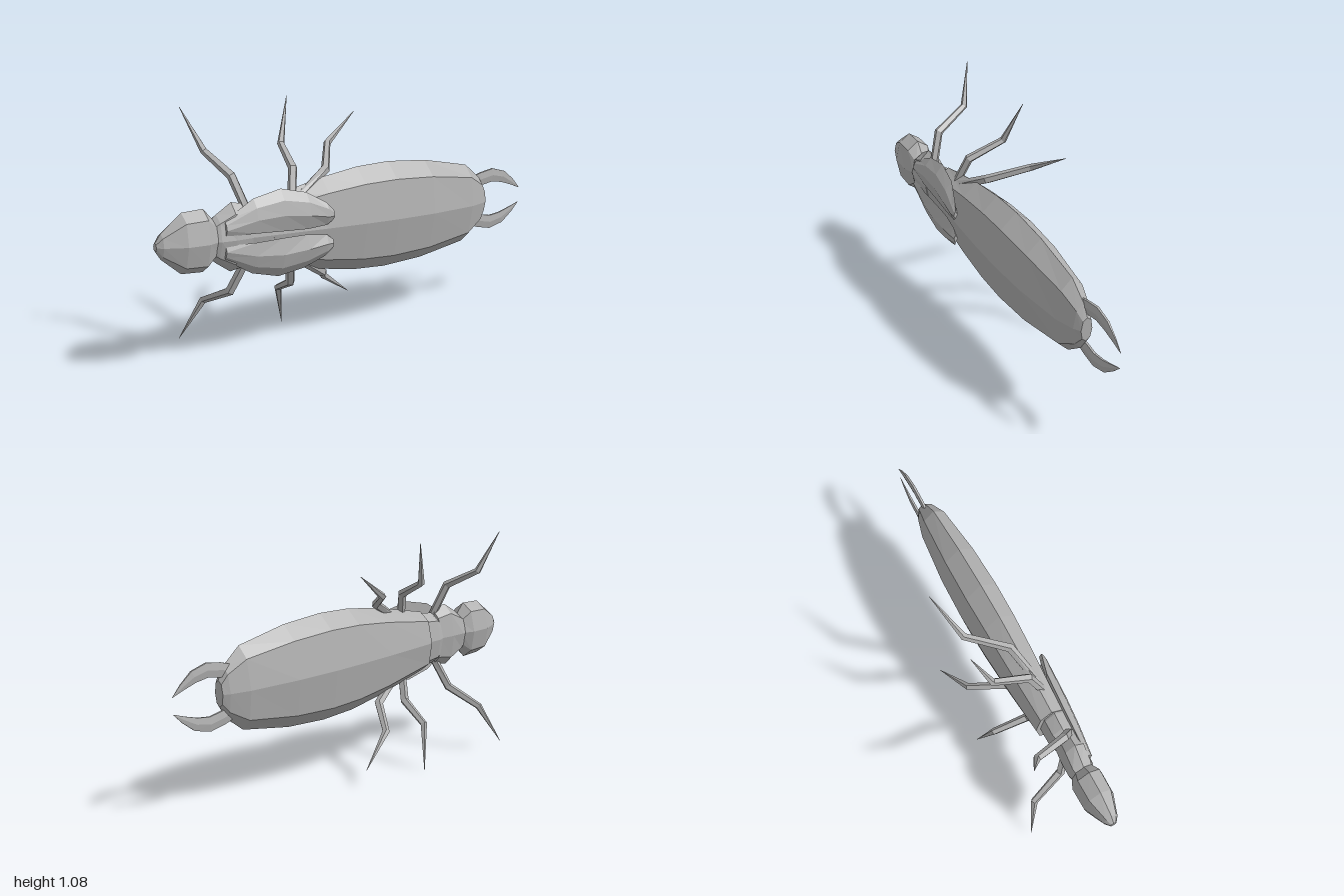
import * as THREE from 'three';

const shell = new THREE.MeshStandardMaterial({ color: 0xb0b0b0, flatShading: true });
shell.name = 'grey shell';

// Skins a list of equal-sized rings and caps both ends; flip mirrors the winding.
function loft(name, rings, flip = false) {
  const pos = [];
  const tri = (a, b, c) => pos.push(...a, ...(flip ? c : b), ...(flip ? b : c));
  const n = rings[0].length;
  for (let i = 0; i + 1 < rings.length; i++) {
    for (let j = 0; j < n; j++) {
      const k = (j + 1) % n;
      tri(rings[i][j], rings[i][k], rings[i + 1][k]);
      tri(rings[i][j], rings[i + 1][k], rings[i + 1][j]);
    }
  }
  const first = rings[0], last = rings[rings.length - 1];
  for (let j = 1; j + 1 < n; j++) {
    tri(first[0], first[j + 1], first[j]);
    tri(last[0], last[j], last[j + 1]);
  }
  const geo = new THREE.BufferGeometry();
  geo.setAttribute('position', new THREE.Float32BufferAttribute(pos, 3));
  geo.computeVertexNormals();
  const mesh = new THREE.Mesh(geo, shell);
  mesh.name = name;
  return mesh;
}

// Eight-sided body section: stations are [x, half width, belly z, back z].
const SECTION = [[1, 0], [0.72, 0.72], [0, 1], [-0.72, 0.72], [-1, 0], [-0.72, -0.72], [0, -1], [0.72, -0.72]];
function bodyPart(name, stations) {
  return loft(name, stations.map(([x, w, z0, z1]) =>
    SECTION.map(([a, b]) => [x, a * w, (z0 + z1) / 2 + b * (z1 - z0) / 2])));
}

// Tapered limb along a path, with elliptical sections; side is +1 or -1.
function limb(name, path, radii, sides, side, flat = 1) {
  const pts = path.map(p => new THREE.Vector3(...p));
  const rings = pts.map((p, i) => {
    const dir = pts[Math.min(i + 1, pts.length - 1)].clone().sub(pts[Math.max(i - 1, 0)]).normalize();
    const ref = flat < 1 ? new THREE.Vector3(0, 0, 1) : new THREE.Vector3(1, 0, 0);
    const n1 = ref.addScaledVector(dir, -ref.dot(dir)).normalize();
    const n2 = dir.clone().cross(n1);
    return Array.from({ length: sides }, (_, j) => {
      const a = j / sides * Math.PI * 2;
      const v = p.clone().addScaledVector(n1, Math.cos(a) * radii[i] * flat)
        .addScaledVector(n2, Math.sin(a) * radii[i]);
      return [v.x, v.y * side, v.z];
    });
  });
  return loft(name, rings, side < 0);
}

// Wing case: stations are [x, inner y, outer y, inner z, ridge z, outer z].
const WING = [
  [-0.70, 0.02, 0.085, 0.135, 0.145, 0.12],
  [-0.56, 0.02, 0.165, 0.15, 0.16, 0.115],
  [-0.43, 0.015, 0.195, 0.155, 0.172, 0.12],
  [-0.31, 0.012, 0.17, 0.162, 0.182, 0.135],
  [-0.22, 0.022, 0.12, 0.172, 0.19, 0.165],
  [-0.19, 0.045, 0.085, 0.178, 0.186, 0.178],
];
function wingCase(name, side) {
  return loft(name, WING.map(([x, a, b, za, zr, zb]) => {
    const at = t => (a + (b - a) * t) * side;
    return [
      [x, at(1), zb], [x, at(0.75), zr - (zr - zb) * 0.3], [x, at(0.4), zr],
      [x, at(0), za], [x, at(0.5), (za + zb) / 2 - 0.012],
    ];
  }), side < 0);
}

const LEGS = {
  front: [[-0.57, 0.09, 0.1], [-0.625, 0.255, 0.04], [-0.67, 0.335, -0.12], [-0.756, 0.52, -0.183]],
  middle: [[-0.36, 0.1, 0.1], [-0.32, 0.26, 0.04], [-0.285, 0.335, -0.12], [-0.222, 0.534, -0.183]],
  hind: [[-0.35, 0.12, 0.1], [-0.15, 0.238, 0.04], [-0.035, 0.315, -0.125], [0.15, 0.438, -0.187]],
};

export function createModel() {
  const model = new THREE.Group();
  model.name = 'earwig';
  const body = new THREE.Group();
  body.name = 'insect';
  body.position.y = 0.54;
  body.rotation.z = -0.04;
  model.add(body);

  // Head, thorax and abdomen along x, back toward +z
  body.add(bodyPart('head', [
    [-1, 0.018, 0.065, 0.095], [-0.975, 0.055, 0.045, 0.115], [-0.88, 0.132, 0.003, 0.15],
    [-0.78, 0.137, 0.003, 0.153], [-0.725, 0.075, 0.03, 0.13],
  ]));
  body.add(bodyPart('prothorax', [
    [-0.76, 0.07, 0.03, 0.125], [-0.72, 0.105, 0.018, 0.14], [-0.65, 0.152, 0.02, 0.145],
    [-0.57, 0.135, 0.03, 0.14],
  ]));
  body.add(bodyPart('thorax', [
    [-0.6, 0.09, 0.035, 0.135], [-0.55, 0.125, 0.015, 0.14], [-0.48, 0.135, 0.015, 0.145],
    [-0.42, 0.11, 0.03, 0.14],
  ]));
  body.add(bodyPart('abdomen', [
    [-0.47, 0.145, -0.005, 0.145], [-0.19, 0.21, -0.025, 0.163], [0, 0.24, -0.034, 0.172],
    [0.17, 0.248, -0.038, 0.175], [0.38, 0.234, -0.031, 0.168], [0.63, 0.187, -0.005, 0.14],
    [0.72, 0.115, 0.02, 0.11], [0.75, 0.06, 0.035, 0.09],
  ]));

  // Paired wing cases, legs and tail pincers
  for (const side of [1, -1]) {
    const tag = side > 0 ? 'Upper' : 'Lower';
    body.add(wingCase('wingCase' + tag, side));
    for (const [key, path] of Object.entries(LEGS)) {
      body.add(limb(key + 'Leg' + tag, path, [0.02, 0.021, 0.017, 0.001], 5, side));
    }
    body.add(limb('pincer' + tag, [
      [0.68, 0.09, 0.056], [0.74, 0.104, 0.056], [0.81, 0.117, 0.056],
      [0.88, 0.102, 0.056], [0.94, 0.069, 0.056], [0.99, 0.036, 0.056],
    ], [0.03, 0.036, 0.037, 0.032, 0.017, 0.001], 6, side, 0.27));
  }
  return model;
}
